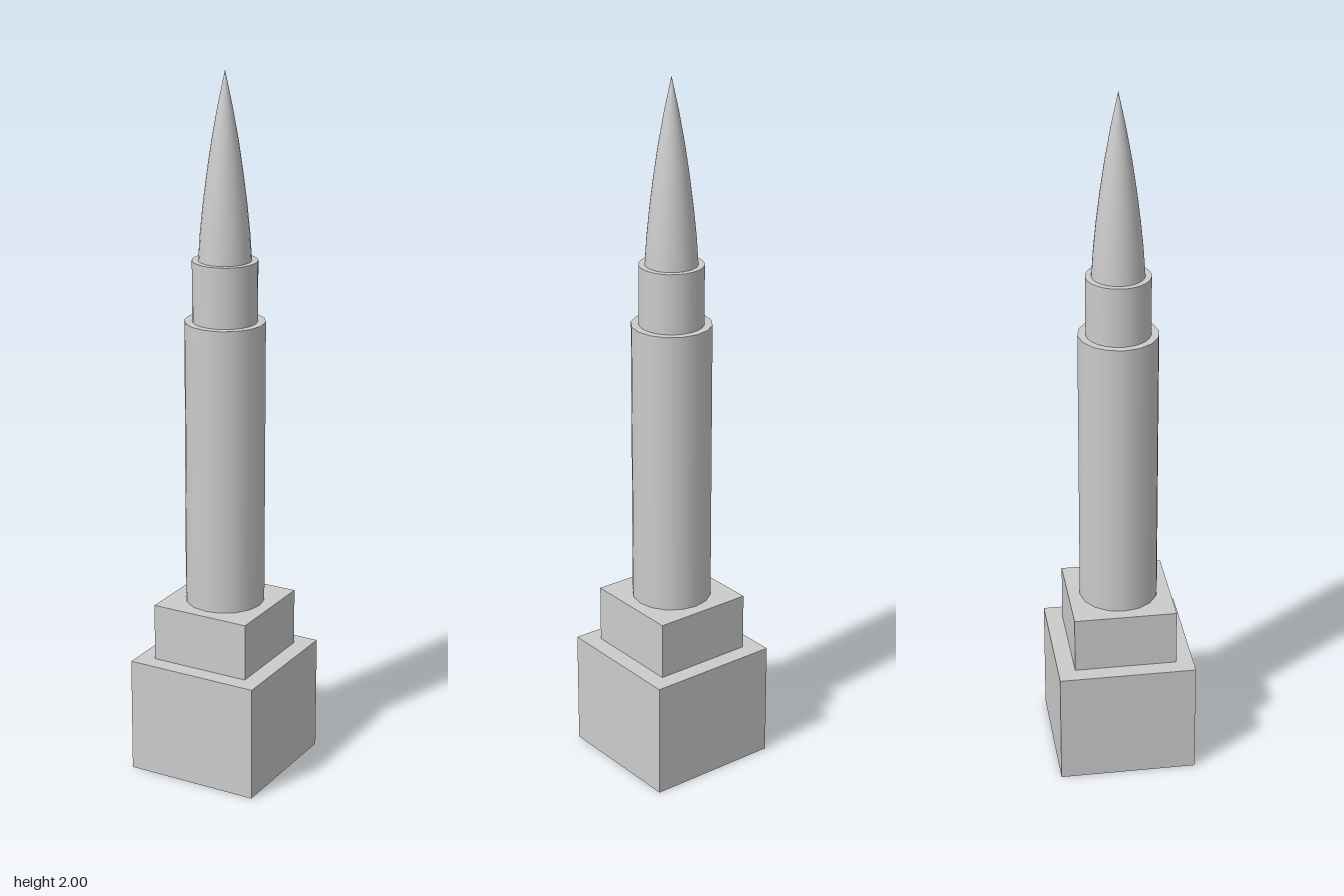
import * as THREE from 'three';

export function createModel() {
  const group = new THREE.Group();
  const material = new THREE.MeshStandardMaterial({ color: 0xcccccc });

  const add = (name, geometry, y) => {
    const mesh = new THREE.Mesh(geometry, material);
    mesh.name = name;
    mesh.position.y = y;
    group.add(mesh);
  };
  // Stacked pieces, each given by its bottom and top height
  const block = (name, width, y0, y1) =>
    add(name, new THREE.BoxGeometry(width, y1 - y0, width), (y0 + y1) / 2);
  const drum = (name, radius, y0, y1, sides) =>
    add(name, new THREE.CylinderGeometry(radius, radius, y1 - y0, sides), (y0 + y1) / 2);

  // Square stepped base
  block('base', 0.39, 0, 0.333);
  block('plinth', 0.292, 0.333, 0.497);

  // Round shaft and collar
  drum('shaft', 0.112, 0.497, 1.315, 16);
  drum('collar', 0.09, 1.315, 1.485, 24);

  // Curved, pointed spire with a closed underside
  const profile = [
    [0.073, 1.485], [0.068, 1.56], [0.06, 1.64], [0.05, 1.72],
    [0.037, 1.81], [0.02, 1.905], [0, 2],
  ].map(([r, y]) => new THREE.Vector2(r, y));
  add('spire', new THREE.LatheGeometry(profile, 24), 0);

  return group;
}
